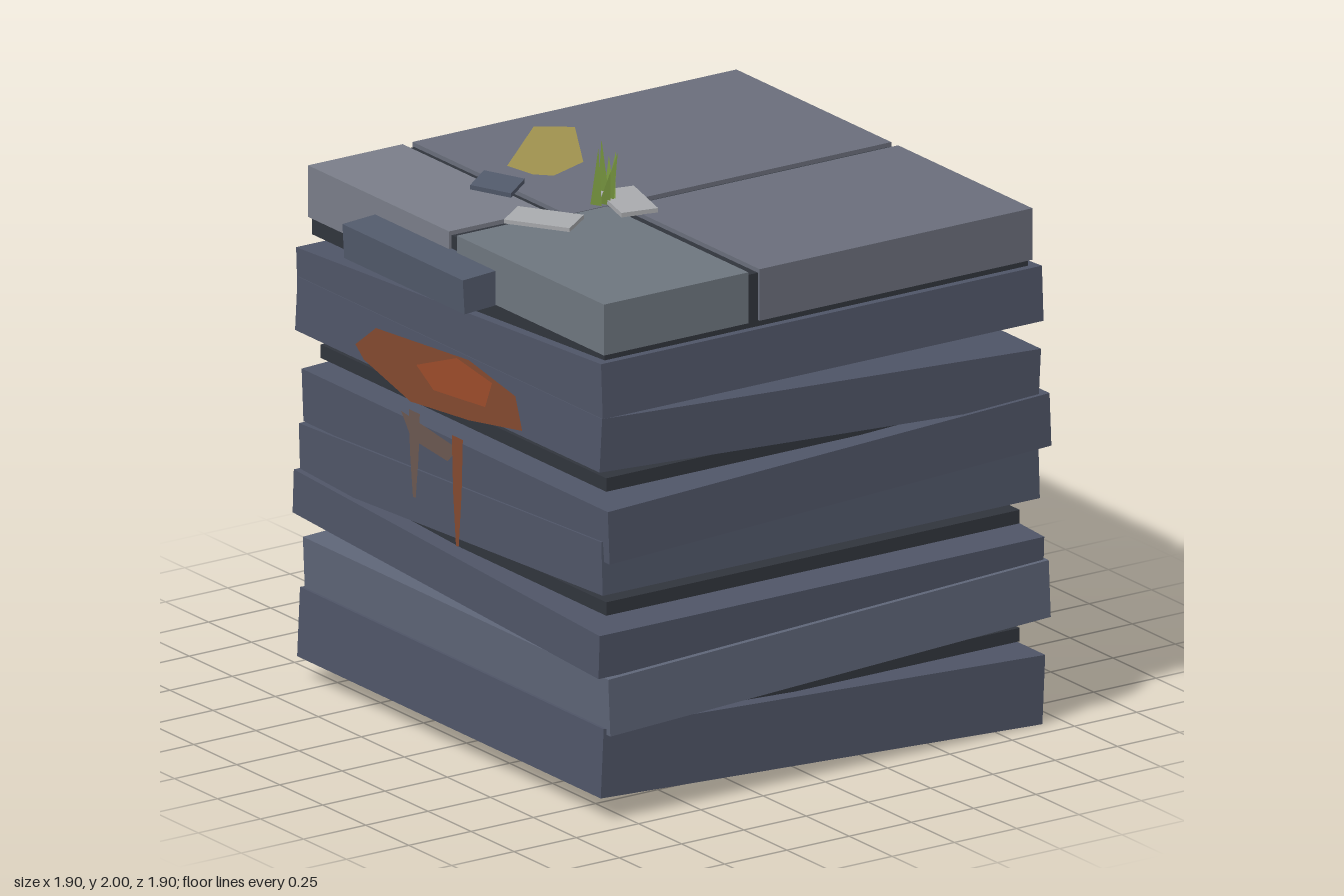
import * as THREE from 'three';

const mat = (color) => new THREE.MeshStandardMaterial({ color, flatShading: true, side: THREE.DoubleSide });
const M = {
  layer: mat(0x4f5567), layerGrey: mat(0x5e6577), dark: mat(0x31353d),
  slab: mat(0x6a6e7b), slabPale: mat(0x7a7e89), slabCool: mat(0x6e767f), ledge: mat(0x525a6b),
  stone: mat(0xa8aaad), ochre: mat(0xa0924f), grass: mat(0x728f3c),
  rust: mat(0x84492f), rustBright: mat(0x9c4c2b), rustBrown: mat(0x6b5850),
};

export function createModel() {
  const model = new THREE.Group();

  const add = (name, geometry, material, parent = model) => {
    const mesh = new THREE.Mesh(geometry, material);
    mesh.name = name;
    parent.add(mesh);
    return mesh;
  };
  const box = (name, material, size, pos, rot = [0, 0, 0]) => {
    const mesh = add(name, new THREE.BoxGeometry(...size), material);
    mesh.position.set(...pos);
    mesh.rotation.set(...rot);
    return mesh;
  };
  // box given by its minimum and maximum corners
  const span = (name, material, a, b) =>
    box(name, material, b.map((v, i) => v - a[i]), b.map((v, i) => (v + a[i]) / 2));
  // flat sheet, lifted a little off the surface behind it
  const sheet = (name, material, points, lift, parent = model) => {
    const shape = new THREE.Shape(points.map(([u, v]) => new THREE.Vector2(u, v)));
    return add(name, new THREE.ShapeGeometry(shape).translate(0, 0, lift), material, parent);
  };

  // stacked layers, open underneath: width, height, depth, centre x y z, tilt about x and z
  const layers = [
    [1.775, 0.24, 1.765, 0.044, 0.1625, 0.04, 0, -0.048, M.layer],
    [1.77, 0.2, 1.775, 0.055, 0.44, 0.057, 0, 0.042, M.layerGrey],
    [1.785, 0.152, 1.78, 0.033, 0.622, 0.04, 0.046, 0, M.layer],
    [1.755, 0.185, 1.76, 0.04, 0.8425, 0.035, -0.045, 0, M.layer],
    [1.775, 0.185, 1.78, 0.055, 1.032, 0.055, 0, 0.04, M.layer],
    [1.765, 0.185, 1.77, 0.028, 1.271, 0.045, 0, -0.055, M.layer],
    [1.77, 0.19, 1.775, 0.04, 1.46, 0.038, -0.051, 0, M.layer],
  ];
  for (const [w, h, d, x, y, z, rx, rz, m] of layers) {
    const { geometry } = box('stackLayer', m, [w, h, d], [x, y, z], [rx, 0, rz]);
    // drop the bottom face (the fourth of the box's six)
    geometry.setIndex([...geometry.index.array].filter((_, i) => i < 18 || i >= 24));
    geometry.clearGroups();
  }

  // dark spacers in the wedge gaps
  for (const y of [0.31, 0.722, 1.155]) box('spacer', M.dark, [1.66, 0.047, 1.66], [0.038, y, 0.043]);

  // paved cap over a dark joint bed
  span('jointBed', M.dark, [-0.81, 1.56, -0.81], [0.89, 1.785, 0.89]);
  span('pavingSlab', M.slabPale, [-0.82, 1.62, -0.82], [-0.44, 1.8, 0]);
  span('pavingSlab', M.slabCool, [-0.82, 1.62, 0.045], [-0.24, 1.798, 0.9]);
  span('pavingSlab', M.slab, [-0.4, 1.62, -0.82], [0.9, 1.8, 0.08]);
  span('pavingSlab', M.slab, [-0.195, 1.62, 0.12], [0.9, 1.8, 0.9]);

  // ledges on the back and on the -x side
  box('backLedge', M.ledge, [0.52, 0.105, 0.15], [0.17, 1.68, -0.872], [0.06, 0, 0]);
  box('sideLedge', M.ledge, [0.15, 0.12, 0.7], [-0.873, 1.675, -0.08], [0, 0, 0.06]);

  // loose stones
  box('looseStone', M.ledge, [0.125, 0.016, 0.145], [-0.45, 1.822, -0.255], [0.1, 0.6, 0.04]);
  box('looseStone', M.stone, [0.125, 0.014, 0.235], [-0.512, 1.813, 0.105], [0, 0.58, 0.06]);
  box('looseStone', M.stone, [0.13, 0.016, 0.225], [-0.178, 1.81, 0.108], [0.03, -0.24, 0.02]);

  // flat ochre patch
  const patch = sheet('ochrePatch', M.ochre,
    [[0.01, 0.71], [0.12, 0.63], [-0.06, 0.32], [-0.22, 0.26], [-0.27, 0.31], [-0.29, 0.43]], 1.805);
  patch.rotation.x = -Math.PI / 2;

  // grass tuft: base x z, tip x z, height
  const blades = [
    [-0.258, 0.05, -0.262, 0.06, 0.2], [-0.23, 0.06, -0.24, 0.1, 0.13], [-0.215, 0.055, -0.208, 0.095, 0.185],
    [-0.2, 0.03, -0.185, 0.06, 0.17], [-0.19, -0.005, -0.2, -0.012, 0.2], [-0.185, 0.02, -0.165, -0.02, 0.14],
    [-0.21, 0.06, -0.17, 0.03, 0.17],
  ];
  const tuft = new THREE.Group();
  tuft.name = 'grassTuft';
  model.add(tuft);
  for (const [x, z, tx, tz, h] of blades) {
    const blade = add('grassBlade', new THREE.ConeGeometry(0.024, h, 3).translate(0, h / 2, 0), M.grass, tuft);
    blade.position.set(x, 1.8, z);
    blade.quaternion.setFromUnitVectors(new THREE.Vector3(0, 1, 0), new THREE.Vector3(tx - x, h, tz - z).normalize());
  }

  // rust stains: patches and drips, drawn across the wall (u) and upwards (v)
  const stain = (name, outer, inner, lower, drips) => {
    const group = new THREE.Group();
    group.name = name;
    sheet('rustPatch', M.rust, outer, 0.004, group);
    sheet('rustCentre', M.rustBright, inner, 0.008, group);
    sheet('rustShadow', M.rustBrown, lower, 0, group);
    drips.forEach(([u, top, bottom], i) => sheet('rustDrip', i % 2 ? M.rust : M.rustBrown,
      [[u - 0.032, top], [u + 0.032, top], [u + 0.025, (top + bottom) / 2], [u + 0.008, bottom],
        [u - 0.008, bottom], [u - 0.025, (top + bottom) / 2]], 0.002, group));
    model.add(group);
    return group;
  };
  const back = stain('backRust',
    [[-0.79, 1.3], [-0.83, 1.22], [-0.6, 1.145], [-0.31, 1.185], [0.117, 1.196], [0.23, 1.3], [-0.045, 1.41], [-0.55, 1.34]],
    [[-0.55, 1.32], [-0.26, 1.37], [-0.055, 1.355], [-0.16, 1.24], [-0.45, 1.2], [-0.6, 1.24]],
    [[-0.55, 1.106], [-0.36, 1.17], [-0.14, 1.13], [-0.19, 1.03], [-0.45, 0.98]],
    [[-0.35, 1.17, 0.62], [-0.26, 1.17, 0.64], [-0.03, 1.14, 0.77]]);
  back.rotation.y = Math.PI;
  back.position.z = -0.855;
  const side = stain('sideRust',
    [[-0.48, 1.28], [-0.36, 1.37], [0.18, 1.41], [0.45, 1.36], [0.49, 1.25], [0.18, 1.2], [-0.16, 1.17], [-0.43, 1.24]],
    [[-0.12, 1.31], [0.115, 1.4], [0.32, 1.37], [0.28, 1.275], [-0.02, 1.25]],
    [[-0.22, 1.12], [0.115, 1.08], [0.05, 1.02], [-0.16, 1.04]],
    [[-0.14, 1.14, 0.84], [0.11, 1.12, 0.74]]);
  side.rotation.y = -Math.PI / 2;
  side.position.x = -0.861;

  return model;
}
